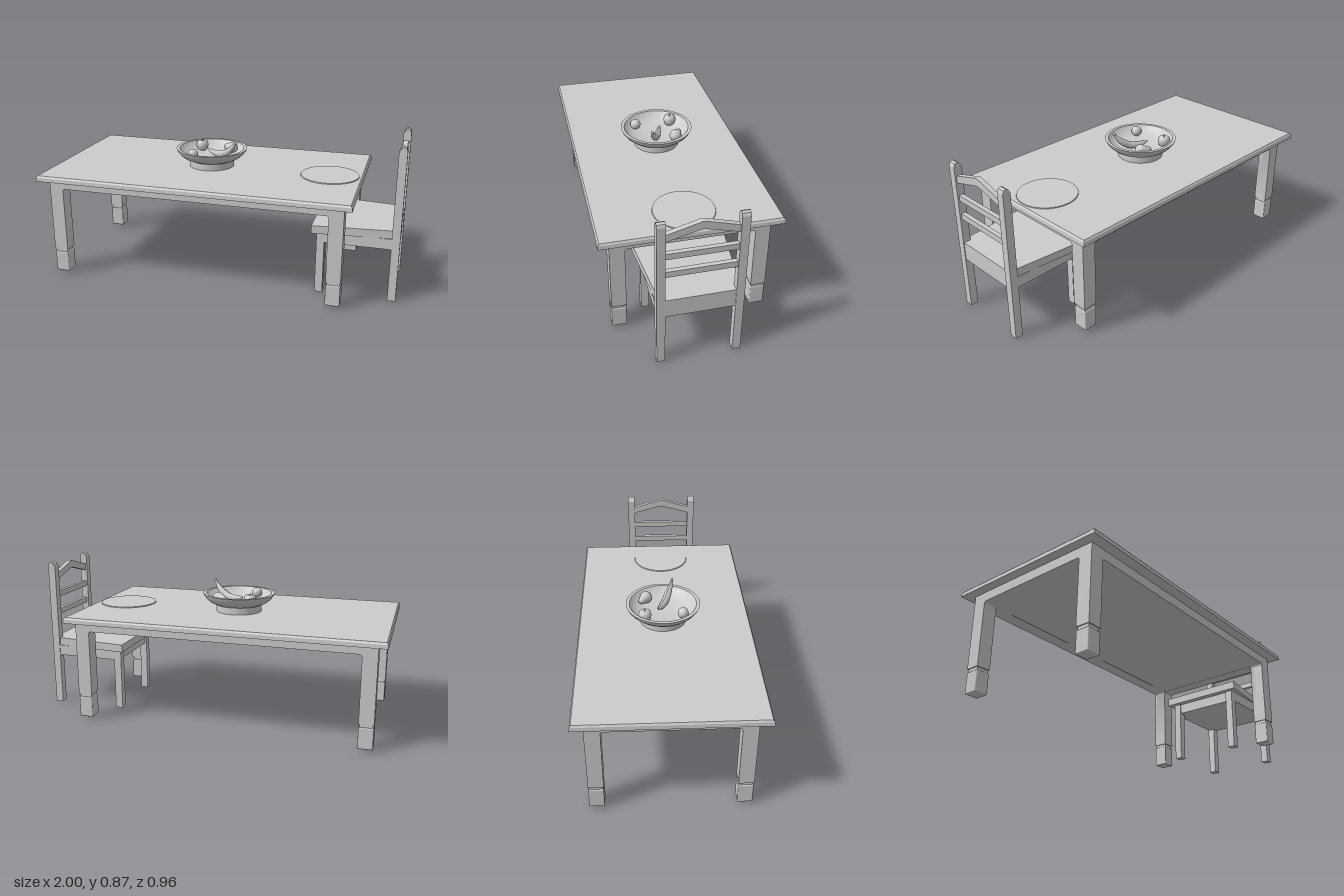
import * as THREE from 'three';
import { toCreasedNormals } from 'three/addons/utils/BufferGeometryUtils.js';
import { RoundedBoxGeometry } from 'three/addons/geometries/RoundedBoxGeometry.js';

const material = new THREE.MeshStandardMaterial({ color: 0xcccccc, side: THREE.DoubleSide });

function add(parent, name, geometry, x = 0, y = 0, z = 0) {
  const mesh = new THREE.Mesh(geometry, material);
  mesh.name = name;
  mesh.position.set(x, y, z);
  parent.add(mesh);
  return mesh;
}

// Box given by its lower and upper corners
function block(parent, name, x0, x1, y0, y1, z0, z1) {
  return add(parent, name, new THREE.BoxGeometry(x1 - x0, y1 - y0, z1 - z0),
    (x0 + x1) / 2, (y0 + y1) / 2, (z0 + z1) / 2);
}

// Two legs joined by a rail with rounded inner corners, centred on depth
function legFrame(length, leg, bottom, rail, top, depth) {
  const h = length / 2, i = h - leg, r = 0.014;
  const s = new THREE.Shape();
  s.moveTo(-h, bottom);
  s.lineTo(-i, bottom);
  s.lineTo(-i, rail - r);
  s.absarc(-i + r, rail - r, r, Math.PI, Math.PI / 2, true);
  s.absarc(i - r, rail - r, r, Math.PI / 2, 0, true);
  s.lineTo(i, bottom);
  s.lineTo(h, bottom);
  s.lineTo(h, top);
  s.lineTo(-h, top);
  s.closePath();
  const g = new THREE.ExtrudeGeometry(s, { depth, bevelEnabled: false, curveSegments: 5 });
  return toCreasedNormals(g.translate(0, 0, -depth / 2), 0.6);
}

function createTable() {
  const table = new THREE.Group();
  table.name = 'table';
  const cx = -0.1175;

  // Top with its upper edge eased inwards
  const top = new THREE.BoxGeometry(1.765, 0.032, 0.96, 1, 2, 1);
  const p = top.attributes.position;
  for (let i = 0; i < p.count; i++) {
    if (p.getY(i) > 0.01) {
      p.setX(i, p.getX(i) - Math.sign(p.getX(i)) * 0.009);
      p.setZ(i, p.getZ(i) - Math.sign(p.getZ(i)) * 0.009);
    } else if (p.getY(i) > -0.01) {
      p.setY(i, 0.006);
      p.setX(i, p.getX(i) - Math.sign(p.getX(i)) * 0.002);
      p.setZ(i, p.getZ(i) - Math.sign(p.getZ(i)) * 0.002);
    }
  }
  add(table, 'tableTop', toCreasedNormals(top, 0.3), cx, 0.595, 0);

  // Apron, upper legs and underside
  const cl = -0.115;
  block(table, 'underside', -0.94, 0.71, 0.526, 0.58, -0.41, 0.41);
  for (const s of [-1, 1]) {
    add(table, 'sideFrame', legFrame(1.67, 0.08, 0.152, 0.525, 0.58, 0.08), cl, 0, s * 0.38);
    add(table, 'endFrame', legFrame(0.84, 0.08, 0.152, 0.525, 0.58, 0.08), cl + s * 0.795, 0, 0)
      .rotation.y = Math.PI / 2;
    // Necks and feet
    for (const t of [-1, 1]) {
      const x = cl + s * 0.795, z = t * 0.38;
      add(table, 'legNeck', new THREE.BoxGeometry(0.068, 0.03, 0.068), x, 0.143, z);
      add(table, 'foot', new RoundedBoxGeometry(0.08, 0.12, 0.08, 2, 0.006), x, 0.075, z);
    }
  }
  add(table, 'placemat', new THREE.CylinderGeometry(0.163, 0.165, 0.006, 48), 0.58, 0.613, 0.005);
  return table;
}

function createChair() {
  const chair = new THREE.Group();
  chair.name = 'chair';
  chair.position.z = 0.023;

  // Tapered seat slab
  const seat = new THREE.Shape([
    [0.53, -0.252], [0.975, -0.206], [0.975, 0.206], [0.53, 0.252],
  ].map(([x, z]) => new THREE.Vector2(x, z)));
  const slab = new THREE.ExtrudeGeometry(seat, { depth: 0.045, bevelEnabled: false });
  add(chair, 'seat', slab.rotateX(-Math.PI / 2), 0, 0.36, 0);
  block(chair, 'seatApron', 0.565, 0.99, 0.3, 0.36, -0.217, 0.217);
  block(chair, 'seatBack', 0.96, 0.996, 0.3, 0.405, -0.19, 0.19);

  // Back post outline with bevelled top
  const post = new THREE.Shape([
    [0.956, 0], [1, 0], [1, 0.845], [0.993, 0.861], [0.98, 0.867], [0.968, 0.861], [0.956, 0.84],
  ].map(([x, y]) => new THREE.Vector2(x, y)));
  for (const s of [-1, 1]) {
    const g = new THREE.ExtrudeGeometry(post, { depth: 0.043, bevelEnabled: false });
    add(chair, 'backPost', g.translate(0, 0, -0.0215), 0, 0, s * 0.1985);
    const z = s * 0.1955;
    block(chair, 'frontLeg', 0.555, 0.598, 0, 0.36, z - 0.0215, z + 0.0215);
  }

  // Back rails and peaked crest
  for (const y of [0.545, 0.652]) {
    block(chair, 'backRail', 0.966, 0.99, y, y + 0.033, -0.18, 0.18);
  }
  const c = new THREE.Shape();
  c.moveTo(-0.18, 0.755);
  c.lineTo(-0.02, 0.798);
  c.quadraticCurveTo(0, 0.806, 0.02, 0.798);
  c.lineTo(0.18, 0.755);
  c.lineTo(0.18, 0.795);
  c.lineTo(0.02, 0.841);
  c.quadraticCurveTo(0, 0.849, -0.02, 0.841);
  c.lineTo(-0.18, 0.795);
  const crest = new THREE.ExtrudeGeometry(c, { depth: 0.026, bevelEnabled: false, curveSegments: 5 });
  add(chair, 'crestRail', toCreasedNormals(crest.rotateY(Math.PI / 2), 0.6), 0.965, 0, 0);
  return chair;
}

function lathe(points, segments = 32) {
  return new THREE.LatheGeometry(points.map(([r, y]) => new THREE.Vector2(r, y)), segments);
}

function createFruitBowl() {
  const bowl = new THREE.Group();
  bowl.name = 'fruitBowl';
  bowl.position.set(-0.118, 0.611, -0.008);

  add(bowl, 'bowl', toCreasedNormals(lathe([
    [0, 0], [0.13, 0], [0.13, 0.04], [0.14, 0.042], [0.165, 0.054], [0.187, 0.073],
    [0.2, 0.09], [0.206, 0.104], [0.187, 0.104], [0.175, 0.087], [0.15, 0.068],
    [0.12, 0.057], [0.07, 0.05], [0, 0.048],
  ], 48), 0.6));

  // Apple with dimple and stalk
  const apple = new THREE.Group();
  apple.name = 'apple';
  apple.position.set(-0.092, 0.05, -0.102);
  bowl.add(apple);
  add(apple, 'appleBody', lathe([
    [0, 0.004], [0.018, 0], [0.031, 0.016], [0.036, 0.038], [0.031, 0.058], [0.017, 0.067],
    [0.007, 0.064], [0, 0.058],
  ], 20));
  add(apple, 'appleStalk', new THREE.CylinderGeometry(0.002, 0.002, 0.02, 6), 0, 0.066, 0);

  add(bowl, 'smallFruit', new THREE.SphereGeometry(0.03, 20, 14), -0.08, 0.087, 0.108);

  // Pear lying on its side
  const pear = add(bowl, 'pear', lathe([
    [0, -0.038], [0.02, -0.034], [0.033, -0.018], [0.034, 0], [0.026, 0.02],
    [0.018, 0.04], [0.013, 0.052], [0, 0.057],
  ], 20), 0.09, 0.084, -0.096);
  pear.rotation.set(0, -0.6, Math.PI / 2);

  // Banana: tube whose rings swell in the middle
  const path = new THREE.CatmullRomCurve3([
    [-0.03, 0.084, -0.028], [0.015, 0.072, -0.008], [0.07, 0.075, 0.016],
    [0.118, 0.105, 0.037], [0.148, 0.14, 0.053], [0.16, 0.16, 0.058],
  ].map((q) => new THREE.Vector3(...q)));
  const rings = 24, sides = 10;
  const banana = new THREE.TubeGeometry(path, rings, 1, sides);
  const p = banana.attributes.position, v = new THREE.Vector3();
  for (let i = 0; i < p.count; i++) {
    const t = Math.floor(i / (sides + 1)) / rings;
    const centre = path.getPointAt(t);
    const radius = t > 0.88 ? 0.007 : 0.004 + 0.017 * Math.sin(Math.PI * Math.min(1, t / 0.95)) ** 0.7;
    v.fromBufferAttribute(p, i).sub(centre).multiplyScalar(radius).add(centre);
    p.setXYZ(i, v.x, v.y, v.z);
  }
  banana.computeVertexNormals();
  add(bowl, 'banana', banana);
  add(bowl, 'bananaTip', new THREE.SphereGeometry(0.008, 10, 8), 0.16, 0.158, 0.058);
  return bowl;
}

export function createModel() {
  const model = new THREE.Group();
  model.name = 'diningSet';
  model.add(createTable(), createChair(), createFruitBowl());
  return model;
}
